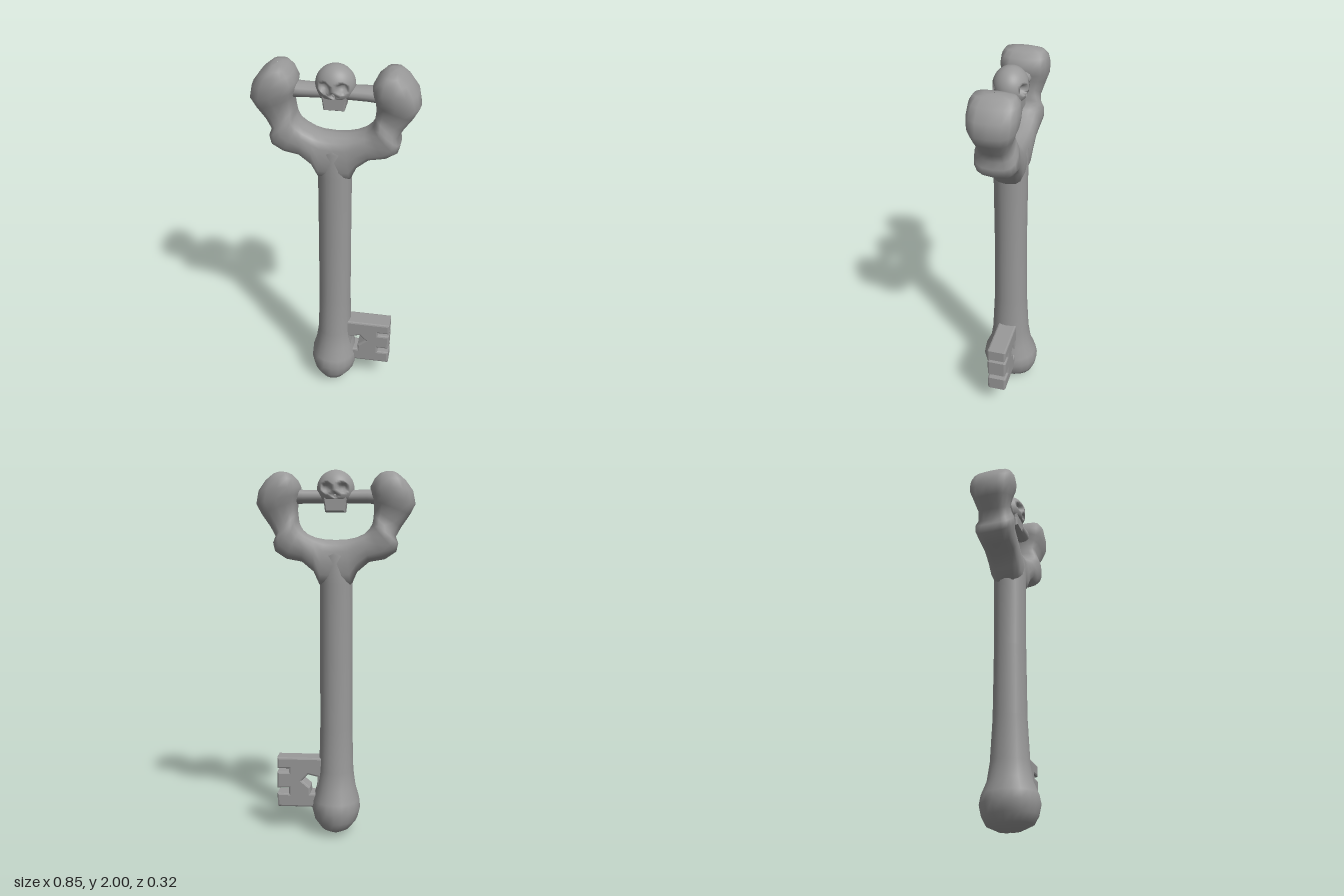
import * as THREE from 'three';

const bone = new THREE.MeshStandardMaterial({ color: 0x999999 });
bone.name = 'grey bone';

function part(name, geometry) {
  const mesh = new THREE.Mesh(geometry, bone);
  mesh.name = name;
  return mesh;
}

// Skin over cross-sections [px, py, qx, qy, halfDepth]; e < 1 makes them boxier.
function loft(sections, sides, e) {
  const pos = [], idx = [];
  const pow = v => Math.sign(v) * Math.pow(Math.abs(v), e);
  sections.forEach(([px, py, qx, qy, b], s) => {
    for (let i = 0; i < sides; i++) {
      const t = (i / sides) * Math.PI * 2;
      const c = pow(Math.cos(t)) / 2;
      pos.push((px + qx) / 2 + (qx - px) * c, (py + qy) / 2 + (qy - py) * c, b * pow(Math.sin(t)));
      if (s < sections.length - 1) {
        const a = s * sides + i, n = s * sides + (i + 1) % sides;
        idx.push(a, a + sides, n, a + sides, n + sides, n);
      }
    }
  });
  const g = new THREE.BufferGeometry();
  g.setAttribute('position', new THREE.Float32BufferAttribute(pos, 3));
  g.setIndex(idx);
  g.computeVertexNormals();
  return g;
}

function shaft() {
  // height, half width, half depth
  const rows = [
    [0, 0.003, 0.003], [0.005, 0.035, 0.06], [0.035, 0.085, 0.125], [0.08, 0.12, 0.148],
    [0.14, 0.135, 0.16], [0.19, 0.13, 0.15], [0.26, 0.11, 0.12], [0.36, 0.096, 0.105],
    [0.6, 0.09, 0.092], [1.0, 0.089, 0.088], [1.4, 0.089, 0.09], [1.55, 0.1, 0.092],
    [1.6, 0.07, 0.07], [1.62, 0.002, 0.002],
  ];
  return loft(rows.map(([y, w, d]) => [-w - 0.003, y, w - 0.003, y, d]), 20, 0.95);
}

// Forked head: inner point, outer point and half depth from the middle to one tip
function fork() {
  const half = [
    [0.06, 1.635, 0.085, 1.39, 0.092], [0.11, 1.645, 0.115, 1.46, 0.096],
    [0.155, 1.665, 0.18, 1.515, 0.098], [0.18, 1.69, 0.265, 1.53, 0.1],
    [0.195, 1.715, 0.325, 1.57, 0.11], [0.2, 1.735, 0.335, 1.615, 0.108],
    [0.203, 1.765, 0.322, 1.65, 0.094], [0.205, 1.795, 0.35, 1.7, 0.086],
    [0.2, 1.84, 0.395, 1.765, 0.105], [0.19, 1.87, 0.424, 1.82, 0.122],
    [0.184, 1.91, 0.41, 1.89, 0.126], [0.205, 1.95, 0.37, 1.945, 0.12],
    [0.235, 1.978, 0.33, 1.978, 0.1], [0.26, 1.988, 0.31, 1.988, 0.05],
    [0.284, 1.99, 0.286, 1.99, 0.002],
  ];
  const mirrored = half.map(([a, b, c, d, z]) => [-a, b, -c, d, z]).reverse();
  return loft([...mirrored, [0, 1.632, 0, 1.38, 0.09], ...half], 16, 0.72);
}

function crossbar() {
  const rows = [[-0.23, 0.042, 0.056], [-0.17, 0.036, 0.054], [0, 0.034, 0.042],
    [0.17, 0.036, 0.054], [0.23, 0.042, 0.056]];
  return loft(rows.map(([x, h, d]) => [x, 1.86 + h, x, 1.86 - h, d]), 12, 0.9);
}

// Cranium with eye and nose hollows pressed into both faces
function cranium() {
  const g = new THREE.SphereGeometry(1, 48, 36);
  const p = g.attributes.position;
  for (let i = 0; i < p.count; i++) {
    const x = p.getX(i) * 0.1, z0 = p.getZ(i);
    let y = p.getY(i);
    y = y > 0 ? y * 0.1 : Math.max(y * 0.1, -0.055);
    const eye = Math.hypot((Math.abs(x) - 0.044) / 0.027, (y - 0.004) / 0.026);
    const nose = Math.hypot(x / 0.014, (y + 0.034) / 0.016);
    const dent = Math.max(0, 1 - Math.min(eye, nose) ** 4);
    p.setXYZ(i, x, y + 1.9, z0 * 0.09 * (1 - 0.5 * dent));
  }
  g.computeVertexNormals();
  return g;
}

function jaw() {
  const shape = new THREE.Shape([[-0.046, 1.785], [0.046, 1.785], [0.052, 1.83], [0.06, 1.865],
    [-0.06, 1.865], [-0.052, 1.83]].map(([x, y]) => new THREE.Vector2(x, y)));
  const g = new THREE.ExtrudeGeometry(shape, {
    depth: 0.1, bevelEnabled: true, bevelSize: 0.007, bevelThickness: 0.012, bevelSegments: 1,
  });
  return g.translate(0, 0, -0.05);
}

// Toothed bit with an irregular hole beside the shaft
function bit() {
  const v = list => list.map(([x, y]) => new THREE.Vector2(x, y));
  const shape = new THREE.Shape(v([
    [0.04, 0.155], [0.315, 0.155], [0.315, 0.212], [0.25, 0.212], [0.25, 0.263],
    [0.315, 0.263], [0.315, 0.336], [0.25, 0.336], [0.25, 0.376], [0.315, 0.376],
    [0.315, 0.42], [0.04, 0.42],
  ]));
  shape.holes.push(new THREE.Path(v([
    [0.09, 0.33], [0.155, 0.345], [0.2, 0.298], [0.15, 0.255], [0.148, 0.215], [0.09, 0.215],
  ])));
  const g = new THREE.ExtrudeGeometry(shape, {
    depth: 0.086, bevelEnabled: true, bevelSize: 0.01, bevelThickness: 0.01, bevelSegments: 2,
  });
  return g.translate(0, 0, -0.043);
}

export function createModel() {
  const key = new THREE.Group();
  key.name = 'boneKey';
  const skull = new THREE.Group();
  skull.name = 'skull';
  skull.add(part('cranium', cranium()), part('jaw', jaw()));
  key.add(part('shaft', shaft()), part('forkedHead', fork()), part('crossbar', crossbar()),
    skull, part('keyBit', bit()));
  return key;
}
